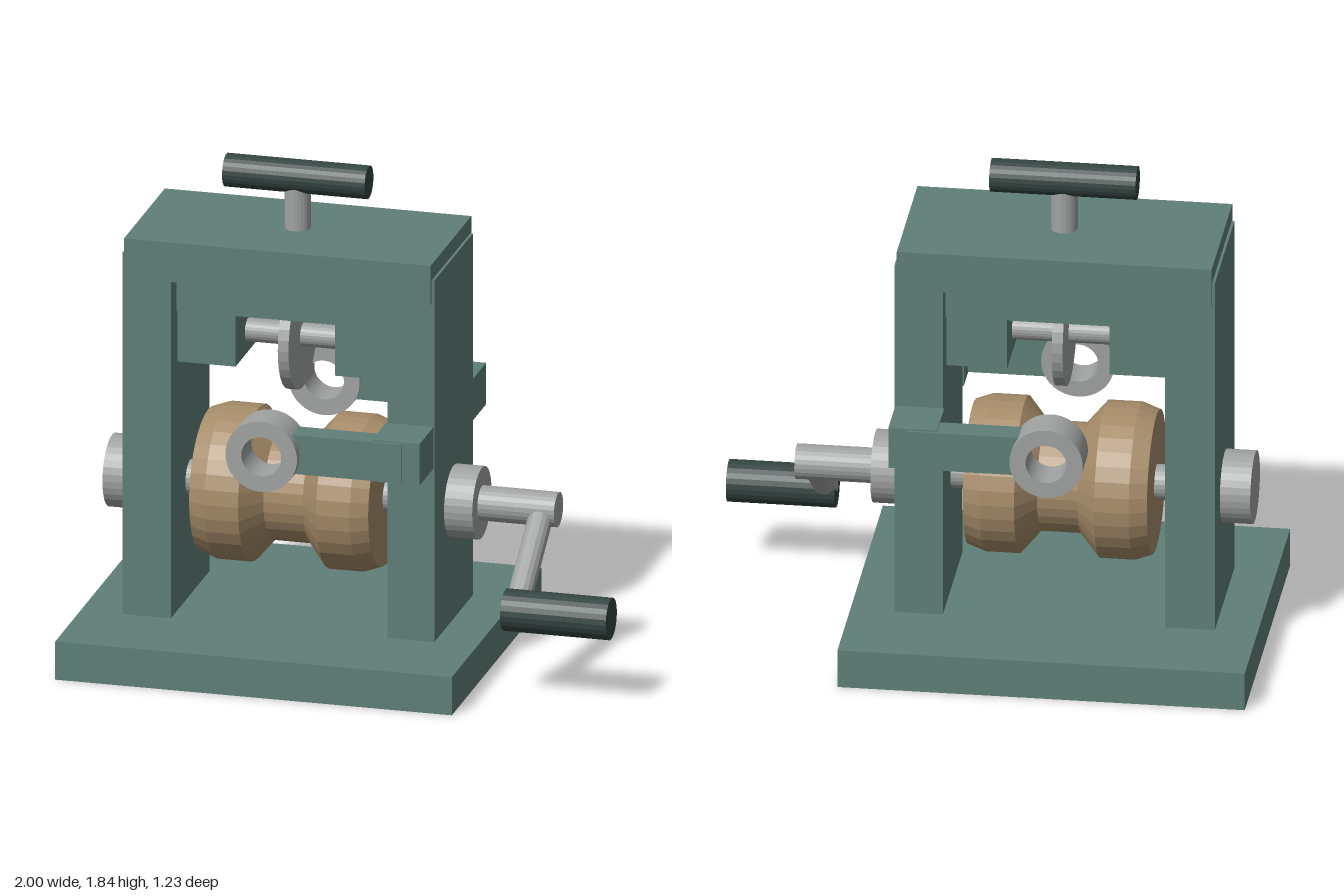
import * as THREE from 'three';

export function createModel() {
  const mat = (name, color) => {
    const m = new THREE.MeshStandardMaterial({ color, flatShading: true });
    m.name = name;
    return m;
  };
  const paint = mat('greenPaint', 0x5f7f78);
  const steel = mat('steel', 0xa0a3a2);
  const brass = mat('bronze', 0xa68c69);
  const grip = mat('darkGrip', 0x344542);

  const model = new THREE.Group();
  model.name = 'rollingPress';

  const add = (name, geometry, material) => {
    const mesh = new THREE.Mesh(geometry, material);
    mesh.name = name;
    model.add(mesh);
    return mesh;
  };
  // Box given by its extents on each axis
  const box = (name, [x0, x1], [y0, y1], [z0, z1]) =>
    add(name, new THREE.BoxGeometry(x1 - x0, y1 - y0, z1 - z0), paint)
      .position.set((x0 + x1) / 2, (y0 + y1) / 2, (z0 + z1) / 2);
  // Round bar between two points
  const bar = (name, a, b, radius, material, sides = 24) => {
    const from = new THREE.Vector3(...a), to = new THREE.Vector3(...b);
    const dir = to.clone().sub(from);
    const mesh = add(name, new THREE.CylinderGeometry(radius, radius, dir.length(), sides), material);
    mesh.position.copy(from).add(to).multiplyScalar(0.5);
    mesh.quaternion.setFromUnitVectors(new THREE.Vector3(0, 1, 0), dir.normalize());
  };

  const midX = -0.265, shaftY = 0.595, pressY = 1.175;

  // Frame
  box('base', [-1, 0.475], [0, 0.145], [-0.615, 0.615]);
  box('rightUpright', [-0.845, -0.665], [0.145, 1.52], [-0.265, 0.265]);
  box('leftUpright', [0.14, 0.315], [0.145, 1.52], [-0.265, 0.265]);
  box('topBeam', [-0.835, 0.305], [1.43, 1.58], [-0.28, 0.28]);

  // Sliding crosshead with its bearing blocks and pressure wheel
  box('crosshead', [-0.665, 0.14], [1.29, 1.4], [-0.19, 0.19]);
  box('rightBearingBlock', [-0.665, -0.45], [1.09, 1.29], [-0.17, 0.17]);
  box('leftBearingBlock', [-0.08, 0.14], [1.09, 1.29], [-0.17, 0.17]);
  bar('wheelAxle', [-0.6, pressY, 0], [0.07, pressY, 0], 0.043, steel);
  bar('pressureWheel', [midX - 0.02, pressY, 0], [midX + 0.02, pressY, 0], 0.2, steel, 32);

  // Pressure screw and T handle
  bar('pressureScrew', [midX, 1.38, 0], [midX, 1.812, 0], 0.048, steel);
  bar('screwHandle', [-0.53, 1.775, 0], [0, 1.775, 0], 0.061, grip);

  // Grooved roller, turned about the shaft
  const profile = [
    [0, -0.333], [0.262, -0.333], [0.285, -0.27], [0.285, -0.145], [0.2, -0.073],
    [0.2, 0.073], [0.285, 0.145], [0.285, 0.27], [0.262, 0.333], [0, 0.333],
  ].map(([r, y]) => new THREE.Vector2(r, y));
  const roller = add('groovedRoller', new THREE.LatheGeometry(profile, 32), brass);
  roller.rotation.z = -Math.PI / 2;
  roller.position.set(midX, shaftY, 0);

  // Drive shaft, flanges and crank
  bar('driveShaft', [-0.94, shaftY, 0], [0.705, shaftY, 0], 0.064, steel);
  bar('rightFlange', [-0.955, shaftY, 0], [-0.845, shaftY, 0], 0.133, steel, 32);
  bar('leftFlange', [0.315, shaftY, 0], [0.42, shaftY, 0], 0.133, steel, 32);
  bar('crankArm', [0.647, shaftY, 0], [0.647, 0.33, 0.365], 0.045, steel, 16);
  bar('crankHandle', [0.607, 0.33, 0.365], [1, 0.33, 0.365], 0.077, grip);

  // Wire guides on the front and back
  const ring = new THREE.Shape().absarc(0, 0, 0.133, 0, Math.PI * 2);
  ring.holes.push(new THREE.Path().absarc(0, 0, 0.074, 0, Math.PI * 2, true));
  const ringGeometry = new THREE.ExtrudeGeometry(ring, { depth: 0.14, bevelEnabled: false, curveSegments: 28 });
  for (const [side, s] of [['front', 1], ['back', -1]]) {
    const span = (a, b) => (s > 0 ? [a, b] : [-b, -a]);
    box(side + 'GuideBracket', [0.135, 0.312], [0.805, 0.963], span(0.265, 0.455));
    box(side + 'GuideArm', [-0.16, 0.245], [0.81, 0.958], span(0.372, 0.466));
    add(side + 'GuideRing', ringGeometry, steel).position.set(midX, 0.876, s > 0 ? 0.36 : -0.5);
  }

  return model;
}
